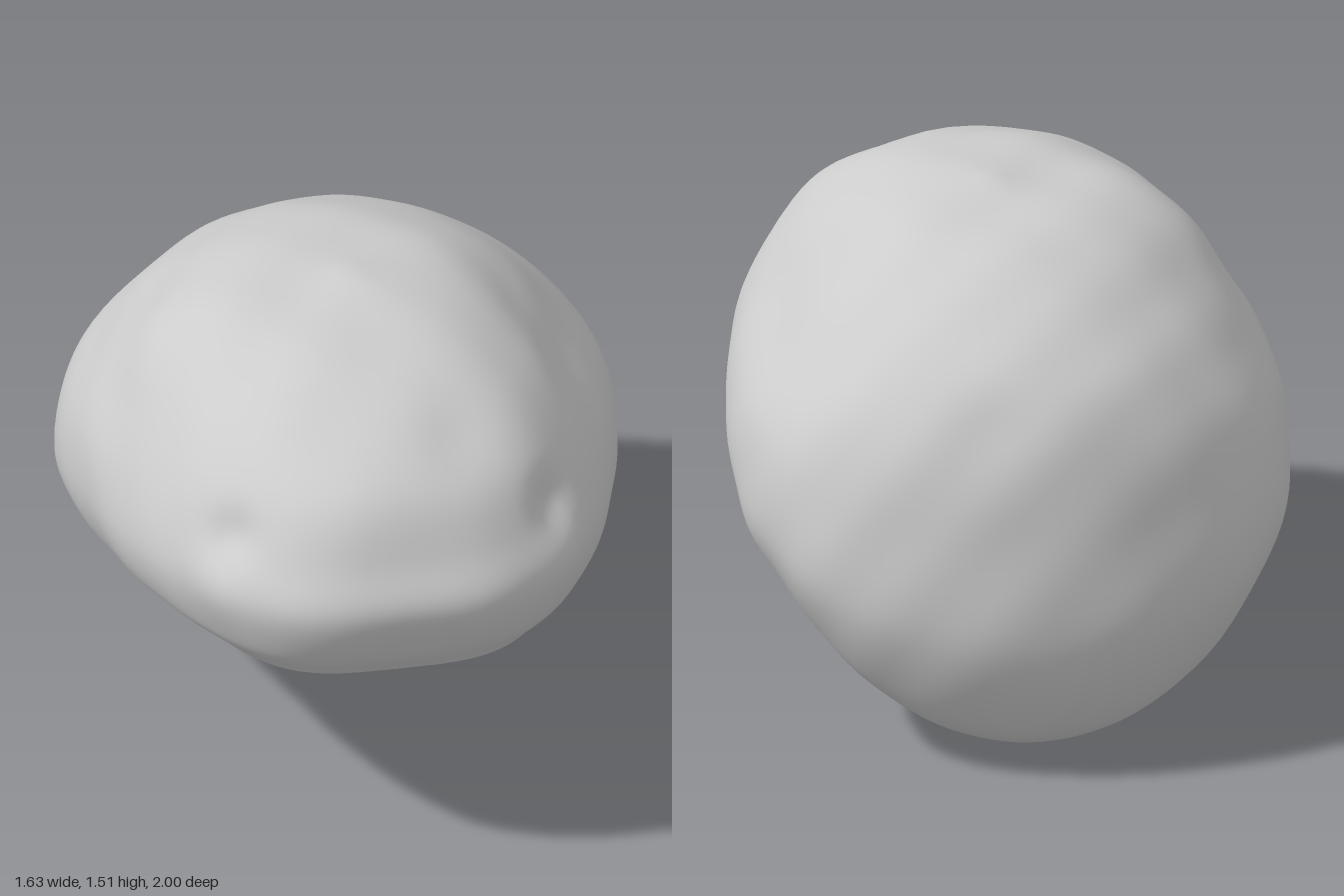
import * as THREE from 'three';
import { mergeVertices } from 'three/addons/utils/BufferGeometryUtils.js';

// Rings from the rim to the crown: [front z, y], [back z, y], [side half-width, z, y]
const RINGS = [
  [[0.86, 0.70], [-0.65, 0.00], [0.62, 0.00, 0.52]],
  [[0.95, 0.82], [-0.87, 0.12], [0.74, -0.10, 0.59]],
  [[1.00, 0.99], [-0.99, 0.42], [0.81, -0.20, 0.74]],
  [[0.93, 1.12], [-0.95, 0.77], [0.79, -0.20, 0.95]],
  [[0.81, 1.28], [-0.87, 1.06], [0.69, -0.15, 1.13]],
  [[0.60, 1.40], [-0.71, 1.25], [0.54, -0.08, 1.31]],
  [[0.36, 1.475], [-0.38, 1.44], [0.32, -0.03, 1.45]],
  [[-0.01, 1.505], [-0.01, 1.505], [0, -0.01, 1.505]],
];
const curve = (f) => new THREE.CatmullRomCurve3(RINGS.map(f), false, 'catmullrom', 0.5);
const front = curve((r) => new THREE.Vector3(0, r[0][1], r[0][0]));
const back = curve((r) => new THREE.Vector3(0, r[1][1], r[1][0]));
const side = curve((r) => new THREE.Vector3(r[2][0], r[2][2], r[2][1]));

// Lumps and dents: x, y, z, radius, height along the outward direction
const LUMPS = [
  // Notches above the brow corners, and the brow lumps under them
  [-0.47, 1.13, 0.72, 0.08, -0.035], [0.48, 1.12, 0.70, 0.08, -0.045],
  [-0.50, 1.00, 0.76, 0.12, 0.02], [0.48, 1.00, 0.76, 0.12, 0.015],
  // Forehead and crown
  [-0.10, 1.28, 0.78, 0.20, 0.02], [0.20, 1.34, 0.66, 0.13, -0.025],
  [-0.47, 1.36, 0.00, 0.25, 0.045], [0.18, 1.49, 0.05, 0.18, 0.012],
  // Planed right shoulder
  [0.64, 1.20, 0.05, 0.30, -0.04], [0.62, 1.20, -0.35, 0.22, -0.015],
  [-0.66, 1.05, 0.30, 0.16, -0.015],
  // Cheeks and nape
  [0.74, 0.62, -0.35, 0.13, 0.015], [-0.74, 0.62, -0.35, 0.13, 0.015],
  [0.20, 1.10, -0.87, 0.16, -0.02],
];
const CENTRE = new THREE.Vector3(0, 0.72, -0.05);

function shellPoint(t, angle) {
  const c = Math.cos(angle), s = Math.sin(angle);
  const f = front.getPoint(t), b = back.getPoint(t), w = side.getPoint(t);
  const mid = f.clone().add(b).multiplyScalar(0.5);
  const half = f.clone().sub(b).multiplyScalar(0.5);
  const p = mid.clone().addScaledVector(half, c);
  p.y += (1 - c * c) * (w.y - mid.y);
  p.z += (1 - c * c) * (w.z - mid.z);
  // Squarer towards the front, most of all along the opening
  const power = 0.88 - 0.12 * c - 0.18 * Math.pow(1 - t, 4) * Math.max(c, 0);
  p.x = Math.max(w.x, 0) * Math.sign(s) * Math.pow(Math.abs(s), power);
  return p;
}

function addLumps(p, t) {
  const out = p.clone().sub(CENTRE).normalize();
  let d = 0.006 * Math.sin(7 * p.x + 3 * p.z + 1) * Math.sin(6 * p.z - 4 * p.y)
    + 0.004 * Math.sin(15 * p.x + 5 * p.y) * Math.sin(13 * p.z + 9 * p.y);
  for (const [x, y, z, r, h] of LUMPS) {
    const q = (p.x - x) ** 2 + (p.y - y) ** 2 + (p.z - z) ** 2;
    d += h * Math.exp(-q / (r * r));
  }
  return p.addScaledVector(out, d * Math.min(1, t * 6));
}

// Thin skin, open underneath
function shell() {
  const rows = 56, cols = 112, pos = [], index = [];
  for (let j = 0; j <= rows; j++) {
    for (let i = 0; i < cols; i++) {
      const t = j / rows;
      const p = addLumps(shellPoint(t, (i / cols) * Math.PI * 2), t);
      pos.push(p.x, p.y, p.z);
    }
  }
  for (let j = 0; j < rows; j++) {
    for (let i = 0; i < cols; i++) {
      const a = j * cols + i, b = j * cols + (i + 1) % cols;
      const c = b + cols, d = a + cols;
      index.push(a, b, c, a, c, d);
    }
  }
  let g = new THREE.BufferGeometry();
  g.setAttribute('position', new THREE.Float32BufferAttribute(pos, 3));
  g.setIndex(index);
  g = mergeVertices(g, 1e-5);
  g.computeVertexNormals();
  return g;
}

export function createModel() {
  const group = new THREE.Group();
  group.name = 'lumpyCap';
  const grey = new THREE.MeshStandardMaterial({ color: 0xcccccc, side: THREE.DoubleSide });
  grey.name = 'light grey';
  const cap = new THREE.Mesh(shell(), grey);
  cap.name = 'capShell';
  group.add(cap);
  return group;
}
